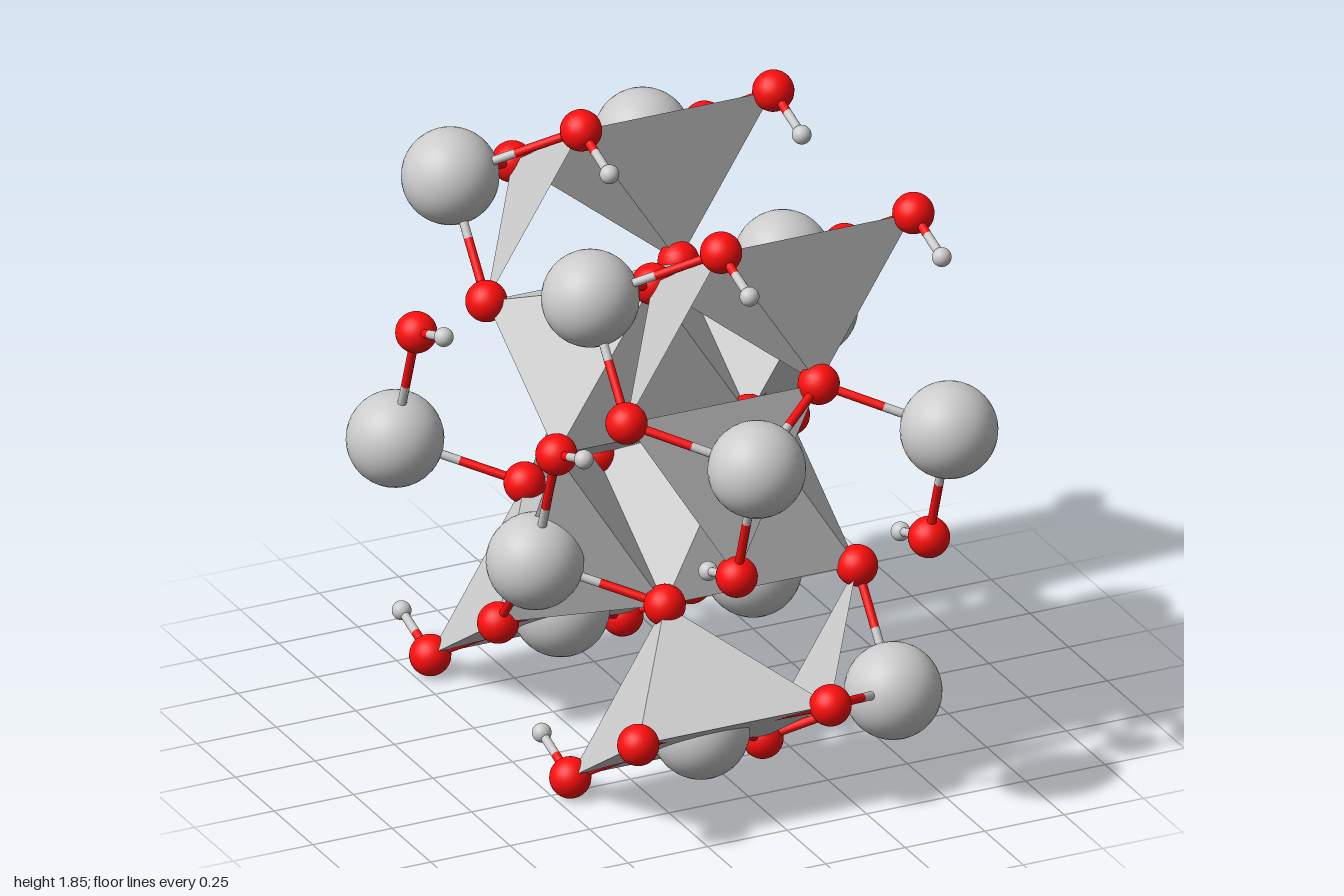
import * as THREE from 'three';
import { ConvexGeometry } from 'three/addons/geometries/ConvexGeometry.js';

export function createModel() {
  const group = new THREE.Group();
  const grey = new THREE.MeshStandardMaterial({ color: 0xcccccc });
  const red = new THREE.MeshStandardMaterial({ color: 0xff0d0d });
  const facet = new THREE.MeshStandardMaterial({ color: 0xcccccc, flatShading: true, side: THREE.DoubleSide });

  // Atoms repeat along x (two alternating pairs of layers) and along z
  const layers = { a: [-0.454, 0.151], b: [-0.152, 0.453] };
  const stepZ = 0.907;
  const up = new THREE.Vector3(0, 1, 0);

  // [layer, y, z of the front copy]
  const metalSites = [['a', 1.62, 0.41], ['b', 1.215, 0.866], ['a', 0.648, 0.052], ['b', 0.247, 0.504]];
  const oxygenSites = [['b', 1.51, 0.19], ['a', 1.327, 0.644], ['b', 0.54, 0.27], ['a', 0.354, 0.72]];
  // [layer, y, z, offset y and z of the attached hydrogen]
  const hydroxylSites = [
    ['b', 1.795, 0.635, -0.06, 0.184], ['a', 1.038, 0.19, 0.06, 0.178],
    ['b', 0.825, 0.736, -0.06, -0.184], ['a', 0.067, 0.28, 0.062, -0.185],
  ];

  const expand = (sites) => sites.flatMap(([layer, y, z]) =>
    [0, 1].flatMap((k) => layers[layer].map((x) => new THREE.Vector3(x, y, z - k * stepZ))));

  function add(name, geometry, material) {
    const mesh = new THREE.Mesh(geometry, material);
    mesh.name = name;
    group.add(mesh);
    return mesh;
  }

  // One rod between two points
  const rodGeometry = new THREE.CylinderGeometry(0.013, 0.013, 1, 12);
  function rod(from, to, material) {
    const dir = to.clone().sub(from);
    const mesh = add('bond', rodGeometry, material);
    mesh.position.copy(from).addScaledVector(dir, 0.5);
    mesh.scale.y = dir.length();
    mesh.quaternion.setFromUnitVectors(up, dir.normalize());
  }

  // Two-coloured bond: red at the oxygen, grey at the other end
  function bond(oxygen, other, share) {
    const mid = oxygen.clone().lerp(other, share);
    rod(oxygen, mid, red);
    rod(mid, other, grey);
  }

  const ball = (radius) => new THREE.SphereGeometry(radius, 32, 20);
  const metalBall = ball(0.14), oxygenBall = ball(0.06), hydrogenBall = ball(0.028);

  // The second copy of the third metal falls behind the first
  const metals = expand(metalSites);
  const oxygens = expand([...oxygenSites, ...hydroxylSites]);

  metals.forEach((p) => add('metalAtom', metalBall, grey).position.copy(p));
  oxygens.forEach((p) => add('oxygenAtom', oxygenBall, red).position.copy(p));

  // Hydrogens with their short bonds
  for (const site of hydroxylSites) {
    for (const p of expand([site])) {
      const h = p.clone().add(new THREE.Vector3(0, site[3], site[4]));
      add('hydrogenAtom', hydrogenBall, grey).position.copy(h);
      bond(p, h, 0.5);
    }
  }

  // Bonds and coordination polyhedra around each metal
  for (const m of metals) {
    const near = oxygens.filter((o) => o.distanceTo(m) < 0.47);
    near.forEach((o) => bond(o, m, 0.5));
    if (near.length > 3) {
      add('polyhedron', new ConvexGeometry(near), facet);
    } else if (near.length === 3) {
      const tri = new THREE.BufferGeometry().setFromPoints(near);
      tri.computeVertexNormals();
      add('triangleFace', tri, facet);
    }
  }
  return group;
}
